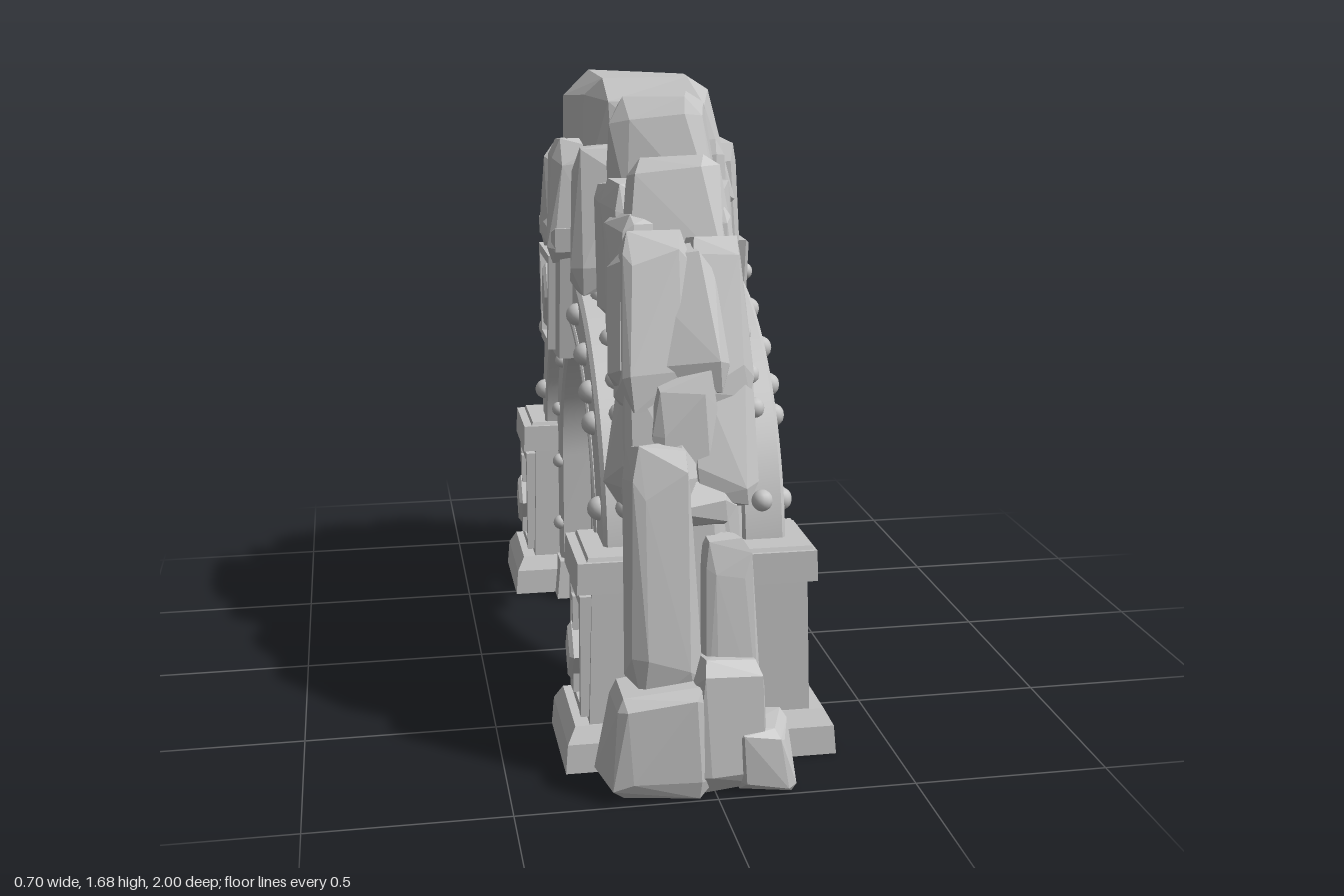
import * as THREE from 'three';
import { toCreasedNormals } from 'three/addons/utils/BufferGeometryUtils.js';
import { ConvexGeometry } from 'three/addons/geometries/ConvexGeometry.js';

const stone = new THREE.MeshStandardMaterial({ color: 0xc4c4c4 });
stone.name = 'grey stone';
const SPRING = 0.46; // height of the arch centre

let seed = 7;
function rand(a, b) {
  seed = (seed * 16807) % 2147483647;
  return a + (b - a) * (seed / 2147483647);
}

function add(group, name, geometry) {
  const mesh = new THREE.Mesh(geometry, stone);
  mesh.name = name;
  group.add(mesh);
  return mesh;
}

// Extrudes a (z, y) outline from x0 to x1
function slab(group, name, shape, x0, x1, bevel = 0) {
  const g = new THREE.ExtrudeGeometry(shape, {
    depth: x1 - x0 - 2 * bevel, curveSegments: 32,
    bevelEnabled: bevel > 0, bevelSize: bevel, bevelThickness: bevel, bevelOffset: -bevel, bevelSegments: 1,
  });
  g.rotateY(-Math.PI / 2);
  g.translate(x1 - bevel, 0, 0);
  add(group, name, toCreasedNormals(g, 0.5));
}

const outline = (pts) => new THREE.Shape(pts.map(([z, y]) => new THREE.Vector2(z, y)));
const wedge = (y0, y1, a, b) => outline([[a, y0], [b, y1], [-b, y1], [-a, y0]]);
const lozenge = (z, y, w, h) => outline([[z + w, y], [z, y + h], [z - w, y], [z, y - h]]);
// Mirrors a range to the negative side
const side = (s, a, b) => (s > 0 ? [a, b] : [-b, -a]);

// Half-round band with straight feet
function archShape(r, R, foot) {
  const s = new THREE.Shape();
  s.moveTo(R, foot);
  s.lineTo(R, SPRING);
  s.absarc(0, SPRING, R, 0, Math.PI, false);
  s.lineTo(-R, foot);
  s.lineTo(-r, foot);
  s.lineTo(-r, SPRING);
  s.absarc(0, SPRING, r, Math.PI, 0, true);
  s.lineTo(r, foot);
  return s;
}

// Block with a smaller top, made by pulling in the upper corners
function block(group, name, [x0, x1], [y0, y1], [z0, z1], inset = 0) {
  const g = new THREE.BoxGeometry(x1 - x0, y1 - y0, z1 - z0);
  const p = g.attributes.position;
  for (let i = 0; i < p.count; i++) {
    if (p.getY(i) > 0) {
      p.setX(i, p.getX(i) - Math.sign(p.getX(i)) * inset);
      p.setZ(i, p.getZ(i) - Math.sign(p.getZ(i)) * inset);
    }
  }
  g.translate((x0 + x1) / 2, (y0 + y1) / 2, (z0 + z1) / 2);
  g.computeVertexNormals();
  add(group, name, g);
}

function rivet(group, x, y, z, r) {
  add(group, 'rivet', new THREE.SphereGeometry(r, 12, 8)).position.set(x, y, z);
}

// Chipped boulder: hull of a box whose corners are cut unevenly, then leaned and kept above the floor
function rock(group, name, z, y, x, w, h, d, lean = 0) {
  const turn = new THREE.Euler(lean, rand(-0.22, 0.22), rand(-0.06, 0.06));
  const pts = [];
  for (const sx of [-1, 1]) for (const sy of [-1, 1]) for (const sz of [-1, 1]) {
    const k = rand(0.88, 1.06);
    const m = sy > 0 ? k * rand(0.74, 0.96) : k;
    for (let axis = 0; axis < 3; axis++) {
      const c = [0, 1, 2].map((i) => (i === axis ? 0.5 : 0.5 - rand(0.06, 0.22)));
      const p = new THREE.Vector3(sx * c[0] * d * m, sy * c[1] * h * k, sz * c[2] * w * m);
      p.applyEuler(turn).add(new THREE.Vector3(x, y, z));
      p.y = Math.max(p.y, 0);
      p.z = THREE.MathUtils.clamp(p.z, -1, 1);
      pts.push(p);
    }
  }
  add(group, name, new ConvexGeometry(pts));
}

function buildArch(group) {
  group.position.z = 0.01;
  slab(group, 'innerArch', archShape(0.435, 0.56, 0), -0.11, 0.11);
  for (const s of [-1, 1]) {
    slab(group, 'rivetedInnerRing', archShape(0.465, 0.57, 0), ...side(s, 0.1, 0.205), 0.008);
    slab(group, 'outerRing', archShape(0.55, 0.692, 0.4), ...side(s, 0.12, 0.235), 0.01);
    slab(group, 'ringLip', archShape(0.55, 0.575, 0.4), ...side(s, 0.2, 0.242), 0.005);
    // Rivets on the ring faces and on the outer rim
    for (const deg of [16, 36, 44, 55, 70, 107, 125, 139, 163]) {
      const a = THREE.MathUtils.degToRad(deg), c = Math.cos(a), v = Math.sin(a);
      rivet(group, s * 0.236, SPRING + 0.635 * v, 0.635 * c, 0.031);
      rivet(group, s * 0.175, SPRING + 0.692 * v, 0.692 * c, 0.028);
    }
    for (const deg of [17, 40, 68, 112, 140, 163]) {
      const a = THREE.MathUtils.degToRad(deg);
      rivet(group, s * 0.206, SPRING + 0.51 * Math.sin(a), 0.51 * Math.cos(a), 0.022);
    }
    for (const z of [-0.485, 0.485]) for (const y of [0.235, 0.44]) rivet(group, s * 0.206, y, z, 0.022);
  }
}

function buildPillars(group) {
  group.position.z = 0.01;
  for (const t of [-1, 1]) {
    const zs = (a, b) => side(t, a, b);
    // Stepped foot that follows the jamb
    block(group, 'jambFoot', [-0.125, 0.125], [0, 0.12], zs(0.39, 0.5), 0.012);
    block(group, 'jambFootStep', [-0.12, 0.12], [0.12, 0.15], zs(0.41, 0.5), 0.012);
    for (const s of [-1, 1]) {
      block(group, 'jambFootWing', side(s, 0.1, 0.225), [0, 0.12], zs(0.42, 0.54), 0.012);
      block(group, 'pillarBase', side(s, 0.12, 0.35), [0, 0.075], zs(0.485, 0.795), 0.006);
      block(group, 'pillarBaseSlope', side(s, 0.12, 0.344), [0.075, 0.115], zs(0.491, 0.789), 0.022);
      block(group, 'pillar', side(s, 0.1, 0.285), [0.1, 0.48], zs(0.52, 0.762), 0.01);
      block(group, 'pillarCap', side(s, 0.1, s > 0 ? 0.298 : 0.315), [0.465, 0.545], zs(0.52, 0.772), 0.003);
      block(group, 'pillarCapTop', side(s, 0.105, 0.29), [0.54, 0.555], zs(0.53, 0.762), 0.006);
    }
    // Plain side: two rivets
    for (const y of [0.22, 0.42]) rivet(group, 0.277, y, t * 0.608, 0.03);
    // Ornate side: framed panel with a raised lozenge and bar
    for (const z of [0.555, 0.735]) block(group, 'panelFrame', [-0.305, -0.265], [0.13, 0.45], zs(z - 0.012, z + 0.012));
    for (const y of [0.145, 0.435]) block(group, 'panelFrame', [-0.305, -0.265], [y - 0.012, y + 0.012], zs(0.555, 0.735));
    slab(group, 'panelLozenge', lozenge(t * 0.645, 0.27, 0.055, 0.08), -0.325, -0.265, 0.01);
    block(group, 'panelBar', [-0.312, -0.265], [0.16, 0.42], zs(0.631, 0.659));
  }
}

function buildKeystones(group) {
  // Plain side
  slab(group, 'keystone', wedge(0.985, 1.23, 0.085, 0.123), 0.1, 0.262, 0.01);
  slab(group, 'keystoneFoot', wedge(0.9, 0.985, 0.07, 0.08), 0.1, 0.235, 0.006);
  for (const s of [-1, 1]) {
    rivet(group, 0.262, 1.13, s * 0.058, 0.024);
    rivet(group, 0.236, 0.95, s * 0.045, 0.02);
  }
  // Ornate side: thicker, with frame and relief
  slab(group, 'ornateKeystone', wedge(0.905, 1.23, 0.095, 0.14), -0.28, -0.1, 0.01);
  slab(group, 'ornateKeystoneCap', wedge(1.215, 1.28, 0.155, 0.16), -0.295, -0.1, 0.01);
  const frame = wedge(0.93, 1.2, 0.085, 0.118);
  frame.holes.push(wedge(0.955, 1.175, 0.063, 0.092));
  slab(group, 'keystoneFrame', frame, -0.3, -0.27);
  slab(group, 'keystoneRelief', lozenge(0, 1.07, 0.05, 0.09), -0.303, -0.27, 0.008);
}

function buildRocks(group) {
  // Foot boulders and tall columns on both legs: z, y, x, width, height, depth
  const legs = [
    [0.915, 0.14, -0.14, 0.18, 0.28, 0.27], [0.9, 0.17, 0.03, 0.18, 0.34, 0.2],
    [0.91, 0.08, 0.13, 0.19, 0.17, 0.15], [0.8, 0.13, 0, 0.16, 0.28, 0.24],
    [0.865, 0.53, -0.12, 0.15, 0.72, 0.2], [0.87, 0.38, 0.04, 0.14, 0.54, 0.15],
    [0.8, 0.6, -0.05, 0.17, 0.86, 0.22], [0.76, 0.6, 0.04, 0.14, 0.75, 0.13],
  ];
  for (const t of [-1, 1]) {
    for (const [z, y, x, w, h, d] of legs) {
      const tall = h > 0.5;
      rock(group, tall ? 'rockColumn' : 'footBoulder', t * z, y, x, w, h, d, tall ? -t * 0.06 : 0);
    }
  }

  // Ridge boulders, the largest on the crown; outer radius at every 15 degrees from +z to -z
  const reach = [0.94, 1.09, 1.18, 1.21, 1.21, 1.14, 1.1, 1.03, 0.97];
  reach.forEach((r, i) => {
    const a = THREE.MathUtils.degToRad(30 + 15 * i);
    const top = i === 4;
    const size = top ? [0.43, 0.37, 0.42] : [0.24, 0.36, 0.3];
    rock(group, 'ridgeBoulder', (r - 0.17) * Math.cos(a), SPRING + (r - 0.17) * Math.sin(a),
      i < 2 ? -0.07 : -0.02, ...size, (a - Math.PI / 2) * 0.4);
  });

  // Upright slabs down both faces, bulging only over the keystones: z, bottom, top, width
  const faces = [
    [0.76, 0.7, 1.06, 0.15], [0.69, 0.93, 1.32, 0.16], [0.58, 1.06, 1.37, 0.14], [0.49, 1.08, 1.43, 0.14],
    [0.35, 1.1, 1.42, 0.14], [0.22, 1.14, 1.5, 0.14], [0.08, 1.2, 1.49, 0.15], [-0.09, 1.2, 1.48, 0.15],
    [-0.22, 1.12, 1.46, 0.13], [-0.34, 1.04, 1.35, 0.14], [-0.47, 0.98, 1.4, 0.15], [-0.58, 0.9, 1.27, 0.14],
    [-0.71, 0.82, 1.13, 0.17], [-0.78, 0.58, 0.92, 0.15],
  ];
  for (const s of [-1, 1]) {
    for (const [z, y0, y1, w] of faces) {
      const x = s * (0.075 + 0.1 * Math.exp(-((z / 0.25) ** 4))) - 0.035;
      rock(group, 'faceSlab', z, (y0 + y1) / 2, x, w, y1 - y0 + 0.04, 0.18, -z * 0.4);
    }
  }

  // Packing stones that close the gaps behind the arch
  for (let i = 1; i < 12; i++) {
    const a = (Math.PI * (i + 0.5)) / 13;
    rock(group, 'packingStone', 0.79 * Math.cos(a), SPRING + 0.79 * Math.sin(a), -0.03, 0.24, 0.26, 0.2, (a - Math.PI / 2) * 0.4);
  }
}

export function createModel() {
  const model = new THREE.Group();
  model.name = 'rockArch';
  const parts = { archRings: buildArch, pillars: buildPillars, keystones: buildKeystones, rocks: buildRocks };
  for (const [name, build] of Object.entries(parts)) {
    const group = new THREE.Group();
    group.name = name;
    build(group);
    model.add(group);
  }
  return model;
}
